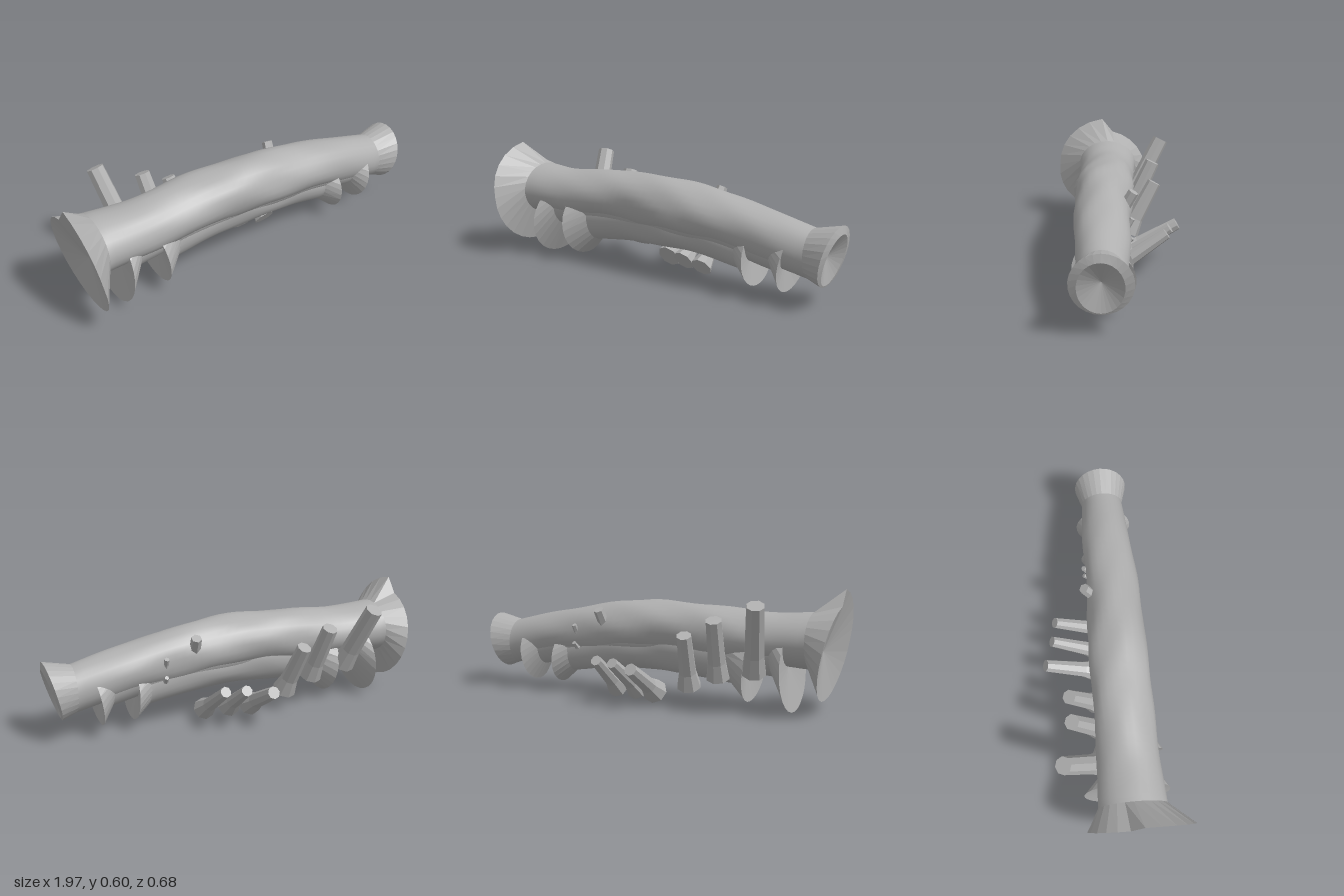
import * as THREE from 'three';

const SEG = 26;
const bark = new THREE.MeshStandardMaterial({ color: 0xb0b0b0, side: THREE.DoubleSide });
bark.name = 'greyBark';

// One cross-section: x position, top, bottom, back z, front z, forward lean of the top
function ring(x, top, bot, back, front, lean = 0, peak = 0) {
  const pts = [];
  for (let j = 0; j < SEG; j++) {
    const a = (j / SEG) * Math.PI * 2, c = Math.cos(a), s = Math.sin(a);
    // the torn lip jumps up at the top, then fades out towards the front
    const rise = 1 + peak * Math.max(0, 1 - a / 1.4);
    pts.push(new THREE.Vector3(
      x + lean * c,
      (top + bot) / 2 + rise * c * (top - bot) / 2,
      (back + front) / 2 + rise * s * (front - back) / 2));
  }
  return pts;
}

// Skin over rings ordered along +x
function loft(name, rings, flat) {
  let g = new THREE.BufferGeometry();
  const index = [];
  for (let i = 0; i < rings.length - 1; i++) {
    for (let j = 0; j < SEG; j++) {
      const a = i * SEG + j, b = i * SEG + (j + 1) % SEG;
      index.push(a, b, a + SEG, b, b + SEG, a + SEG);
    }
  }
  g.setFromPoints(rings.flat());
  g.setIndex(index);
  if (flat) g = g.toNonIndexed();
  g.computeVertexNormals();
  const mesh = new THREE.Mesh(g, bark);
  mesh.name = name;
  return mesh;
}

const point = (x, y, z) => Array.from({ length: SEG }, () => new THREE.Vector3(x, y, z));

// Body rings smoothly interpolated through stations [x, top, bottom, back, front]
function bodyRings(stations, count, rough) {
  const upper = new THREE.CatmullRomCurve3(stations.map(s => new THREE.Vector3(s[0], s[1], s[3])));
  const lower = new THREE.CatmullRomCurve3(stations.map(s => new THREE.Vector3(s[0], s[2], s[4])));
  const rings = [];
  for (let i = 0; i <= count; i++) {
    const p = upper.getPoint(i / count), q = lower.getPoint(i / count);
    const r = ring(p.x, p.y, q.y, p.z, q.z);
    const fade = Math.sin(Math.PI * i / count) * rough;
    r.forEach((v, j) => {
      const a = (j / SEG) * Math.PI * 2;
      const d = fade * (Math.sin(3 * a + v.x * 9) + Math.sin(5 * a - v.x * 17) * 0.6);
      v.y += d * Math.cos(a);
      v.z += d * Math.sin(a);
    });
    rings.push(r);
  }
  return rings;
}

// A shell of bark: smooth body, flared ends and shallow conical end faces
function shell(name, stations, left, right, leftPit, rightSteps, rough) {
  const group = new THREE.Group();
  group.name = name;
  const body = bodyRings(stations, 40, rough);
  group.add(loft(name + 'Body', body, false));
  group.add(loft(name + 'LeftFlare', [point(...leftPit), left, body[0]], true));
  group.add(loft(name + 'RightFlare', [body[body.length - 1], right, ...rightSteps], true));
  return group;
}

// Faceted stub of a branch with a spread foot
function branch(name, from, to, foot, tip, sides = 8) {
  const a = new THREE.Vector3(...from), b = new THREE.Vector3(...to);
  const dir = b.clone().sub(a), len = dir.length();
  const waist = tip + (foot - tip) * 0.3;
  const profile = [[0, 0], [foot, 0], [waist, len * 0.28], [tip, len], [0, len]];
  const g = new THREE.LatheGeometry(profile.map(p => new THREE.Vector2(...p)), sides).toNonIndexed();
  g.computeVertexNormals();
  const mesh = new THREE.Mesh(g, bark);
  mesh.name = name;
  mesh.position.copy(a);
  mesh.quaternion.setFromUnitVectors(new THREE.Vector3(0, 1, 0), dir.normalize());
  return mesh;
}

export function createModel() {
  const model = new THREE.Group();
  model.name = 'hollowLog';

  // Outer trunk, arched, with a torn lip at one end
  model.add(shell('trunk', [
    [-0.84, 0.49, 0.215, -0.12, 0.215],
    [-0.62, 0.478, 0.225, -0.105, 0.205],
    [-0.3, 0.505, 0.235, -0.1, 0.197],
    [0, 0.512, 0.24, -0.092, 0.202],
    [0.3, 0.482, 0.22, -0.08, 0.192],
    [0.6, 0.428, 0.18, -0.075, 0.177],
    [0.85, 0.37, 0.13, -0.06, 0.16],
  ],
  ring(-0.935, 0.53, 0.06, -0.18, 0.345, -0.045, 0.3),
  ring(0.952, 0.4, 0.105, -0.09, 0.19, 0.034),
  [-0.88, 0.3, 0.07],
  [ring(0.957, 0.362, 0.112, -0.05, 0.155, 0.036), point(0.91, 0.25, 0.05)], 0.0045));

  // Middle layer, showing below the trunk
  model.add(shell('middleLayer', [
    [-0.66, 0.42, 0.165, -0.085, 0.18],
    [-0.4, 0.455, 0.19, -0.075, 0.17],
    [0, 0.465, 0.205, -0.07, 0.172],
    [0.4, 0.42, 0.185, -0.06, 0.165],
    [0.67, 0.36, 0.135, -0.055, 0.15],
  ],
  ring(-0.745, 0.385, 0.002, -0.18, 0.25, 0.012),
  ring(0.745, 0.335, 0.045, -0.1, 0.195, 0.022),
  [-0.72, 0.22, 0.04], [point(0.71, 0.2, 0.05)], 0.003));

  // Inner layer, lowest and shortest
  model.add(shell('innerLayer', [
    [-0.44, 0.39, 0.115, -0.07, 0.16],
    [-0.2, 0.41, 0.142, -0.065, 0.155],
    [0, 0.41, 0.15, -0.06, 0.155],
    [0.25, 0.39, 0.142, -0.055, 0.15],
    [0.48, 0.34, 0.11, -0.05, 0.145],
  ],
  ring(-0.543, 0.36, 0.028, -0.125, 0.235, -0.02),
  ring(0.555, 0.315, 0.045, -0.09, 0.195, -0.005),
  [-0.51, 0.22, 0.04], [point(0.53, 0.2, 0.05)], 0.003));

  // Branch stubs on the back: [foot, tip, foot radius, tip radius]
  const branches = [
    [[-0.59, 0.2, -0.085], [-0.655, 0.538, -0.262], 0.062, 0.044],
    [[-0.4, 0.16, -0.07], [-0.43, 0.455, -0.208], 0.06, 0.04],
    [[-0.245, 0.105, -0.07], [-0.28, 0.375, -0.213], 0.062, 0.037],
    [[-0.05, 0.056, -0.056], [-0.05, 0.21, -0.325], 0.064, 0.032],
    [[0.06, 0.056, -0.035], [0.075, 0.225, -0.282], 0.06, 0.028],
    [[0.19, 0.05, -0.011], [0.178, 0.228, -0.26], 0.057, 0.028],
  ];
  branches.forEach((b, i) => model.add(branch('branch' + (i + 1), ...b)));

  // Small twigs near the narrow end
  const twigs = [
    [[0.25, 0.37, -0.04], [0.258, 0.463, -0.093], 0.032, 0.027],
    [[0.41, 0.33, -0.06], [0.412, 0.375, -0.085], 0.016, 0.013],
    [[0.41, 0.25, -0.055], [0.415, 0.28, -0.085], 0.014, 0.011],
  ];
  twigs.forEach((t, i) => model.add(branch('twig' + (i + 1), ...t, 6)));

  return model;
}
